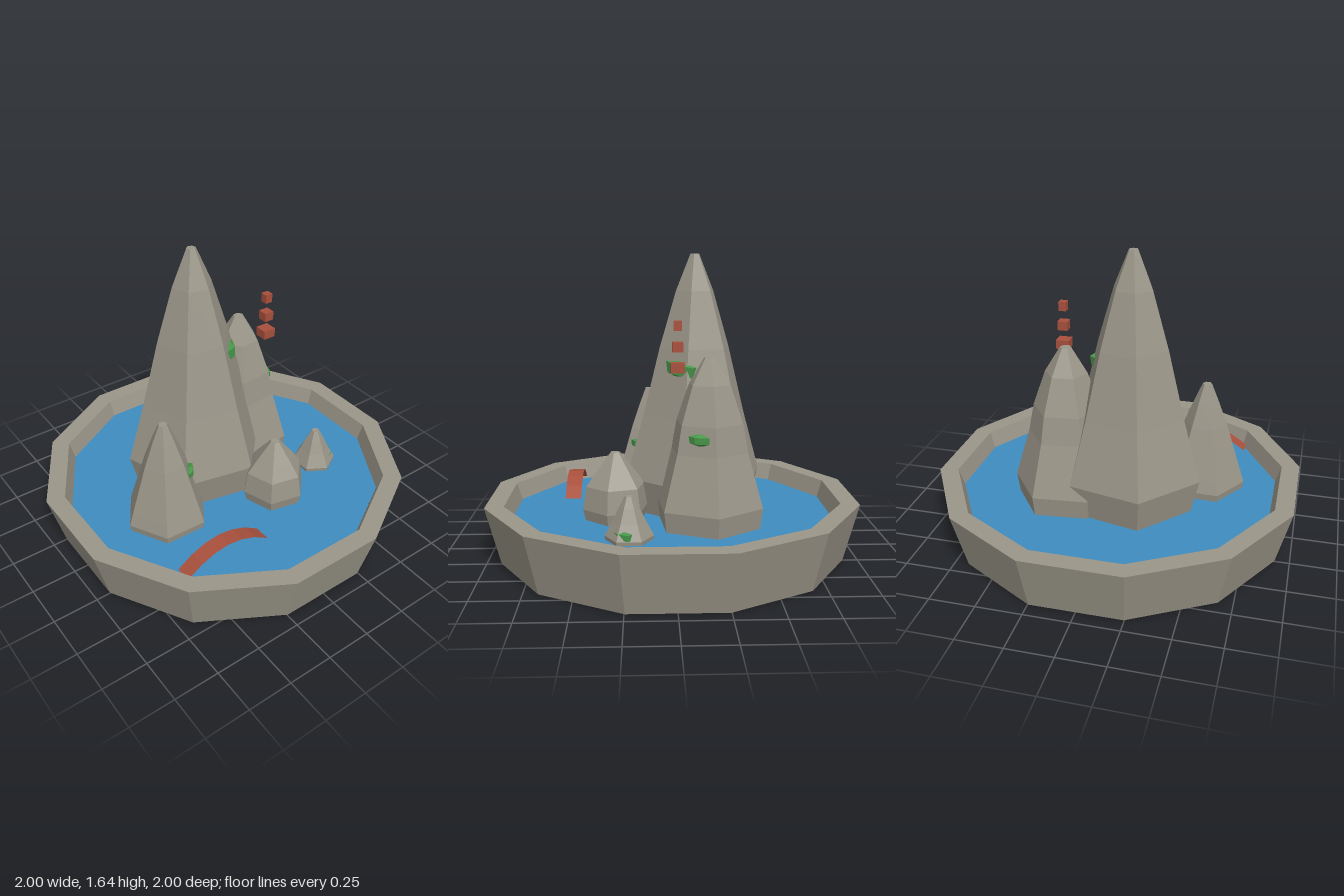
import * as THREE from 'three';

const mat = (name, color, extra = {}) =>
  new THREE.MeshStandardMaterial({ name, color, flatShading: true, ...extra });

export function createModel() {
  const stone = mat('stone', 0x9a9588);
  const water = mat('water', 0x3f8cbf);
  const moss = mat('moss', 0x48984a);
  const red = mat('red', 0xa8503c, { side: THREE.DoubleSide });

  const model = new THREE.Group();
  model.name = 'rockGardenBasin';
  const rad = THREE.MathUtils.degToRad;

  const add = (name, geometry, material, x = 0, y = 0, z = 0) => {
    const mesh = new THREE.Mesh(geometry, material);
    mesh.name = name;
    mesh.position.set(x, y, z);
    model.add(mesh);
    return mesh;
  };
  // Faceted solid of revolution; profile is [radius, y] from the bottom up
  const turned = (profile, sides, angle) => new THREE.LatheGeometry(
    profile.map(([r, y]) => new THREE.Vector2(r, y)), sides, rad(90 - angle));

  // Twelve-sided bowl: radii are given to the middle of each flat side
  const k = 1 / Math.cos(Math.PI / 12);
  const WATER = 0.22;
  add('basin', turned([[0, 0], [0.92 * k, 0], [k, 0.315], [0.9 * k, 0.315], [0.868 * k, WATER - 0.01]], 12, 15), stone);
  add('waterSurface', turned([[0.87 * k, WATER], [0, WATER]], 12, 15), water);

  // Six-sided rocks: position, angle of the first corner, profile
  const rocks = [
    ['mainPeak', -0.1, -0.13, 12.5,
      [[0.355, WATER], [0.4, 0.41], [0.3, 0.76], [0.205, 1.13], [0.11, 1.44], [0.026, 1.64]]],
    ['secondPeak', 0.25, -0.19, -6,
      [[0.285, WATER], [0.3, 0.33], [0.215, 0.62], [0.186, 0.77], [0.115, 0.97], [0.03, 1.11]]],
    ['leftPeak', -0.465, 0.12, 2,
      [[0.225, WATER], [0.232, 0.26], [0.21, 0.33], [0.12, 0.61], [0.07, 0.74], [0.026, 0.845]]],
    ['frontRock', 0.135, 0.31, 12.5,
      [[0.168, WATER], [0.182, 0.28], [0.163, 0.405], [0.115, 0.47], [0.026, 0.585]]],
    ['smallRock', 0.51, 0.23, 30,
      [[0.122, WATER], [0.125, 0.24], [0.085, 0.315], [0.05, 0.39], [0.022, 0.445]]],
  ];
  for (const [name, x, z, angle, profile] of rocks)
    add(name, turned([...profile, [0, profile.at(-1)[1]]], 6, angle), stone, x, 0, z);

  // Moss tufts lying against the rock faces: position, half length, half height, turn, tilt
  const tufts = [
    [0.07, 1.022, -0.05, 0.12, 0.055, 55, -8],
    [0.408, 0.703, -0.13, 0.075, 0.034, 65, 0],
    [-0.35, 0.525, 0.185, 0.062, 0.032, 55, 0],
    [0.588, 0.26, 0.262, 0.068, 0.03, 55, 0],
  ];
  for (const [x, y, z, length, height, turn, tilt] of tufts) {
    const tuft = add('mossTuft', new THREE.SphereGeometry(1, 5, 3), moss, x, y, z);
    tuft.scale.set(length, height, length * 0.42);
    tuft.rotation.set(0, rad(turn), rad(tilt));
  }

  // Arched footbridge: a thin bent strip
  const bridge = new THREE.PlaneGeometry(0.51, 0.09, 6, 1).rotateX(-Math.PI / 2);
  const p = bridge.attributes.position;
  for (let i = 0; i < p.count; i++)
    p.setY(i, 0.345 - 0.1 * (p.getX(i) / 0.255) ** 2);
  add('bridge', bridge, red, -0.4, 0, 0.565);

  // Pagoda tiers floating over the second peak
  [[0.072, 1.065], [0.055, 1.17], [0.042, 1.278]].forEach(([w, y]) =>
    add('pagodaTier', new THREE.BoxGeometry(w, 0.05, w), red, 0.312, y, -0.02));

  return model;
}
